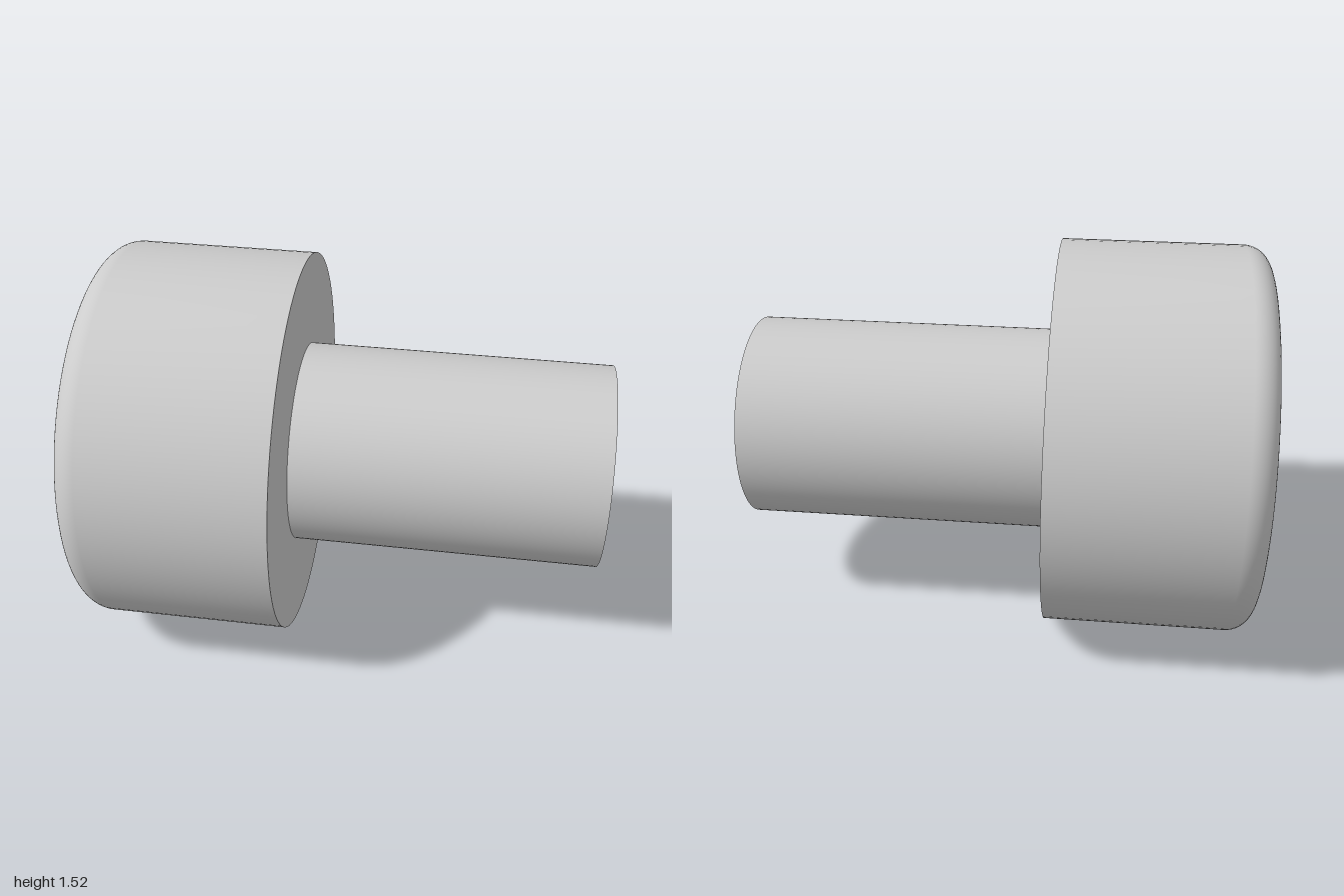
import * as THREE from 'three';
import { toCreasedNormals } from 'three/addons/utils/BufferGeometryUtils.js';

const SEGMENTS = 96;
const AXIS_Y = 0.76;       // height of the screw axis
const HEAD_R = 0.76, SHANK_R = 0.4, FILLET = 0.1;
const HEAD_X = -1, SEAT_X = -0.2, TIP_X = 1;
const HEX_R = 0.6 / Math.sqrt(3), HEX_DEPTH = 0.4; // 0.6 across flats

export function createModel() {
  const group = new THREE.Group();
  group.name = 'socketHeadScrew';
  const smooth = new THREE.MeshStandardMaterial({ color: 0xcccccc });
  const faceted = new THREE.MeshStandardMaterial({ color: 0xcccccc, flatShading: true, side: THREE.DoubleSide });

  const add = (name, geometry, material = smooth, x = 0) => {
    const mesh = new THREE.Mesh(geometry, material);
    mesh.name = name;
    mesh.position.set(x, AXIS_Y, 0);
    group.add(mesh);
  };

  // Turned part from [radius, x] points, running from the tip end to the head end
  const turned = (points) => {
    const profile = points.map(([r, x]) => new THREE.Vector2(r, -x));
    const lathe = new THREE.LatheGeometry(profile, SEGMENTS).rotateZ(Math.PI / 2);
    return toCreasedNormals(lathe, 0.6);
  };

  // Shank with its flat tip
  add('shank', turned([[0, TIP_X], [SHANK_R, TIP_X], [SHANK_R, SEAT_X]]));

  // Head: flat underside, straight wall, rounded outer rim
  const head = [[SHANK_R, SEAT_X], [HEAD_R, SEAT_X], [HEAD_R, HEAD_X + FILLET + 0.005]];
  for (let i = 0; i <= 12; i++) {
    const a = (i / 12) * Math.PI / 2;
    head.push([HEAD_R - FILLET + FILLET * Math.cos(a), HEAD_X + FILLET - FILLET * Math.sin(a)]);
  }
  add('head', turned(head));

  // Flat end face with the hexagonal opening
  const face = new THREE.Shape().absarc(0, 0, HEAD_R - FILLET, 0, Math.PI * 2, false);
  const corners = [];
  for (let i = 0; i < 6; i++) {
    const a = Math.PI / 6 + i * Math.PI / 3;
    corners.push(new THREE.Vector2(HEX_R * Math.cos(a), HEX_R * Math.sin(a)));
  }
  face.holes.push(new THREE.Path(corners));
  add('headFace', new THREE.ShapeGeometry(face, SEGMENTS).rotateY(-Math.PI / 2), smooth, HEAD_X);

  // Hex socket: six walls and a flat floor
  const walls = new THREE.CylinderGeometry(HEX_R, HEX_R, HEX_DEPTH, 6, 1, true, Math.PI / 6);
  add('socketWalls', walls.rotateZ(Math.PI / 2), faceted, HEAD_X + HEX_DEPTH / 2);
  const floor = new THREE.CircleGeometry(HEX_R, 6, Math.PI / 6);
  add('socketFloor', floor.rotateY(-Math.PI / 2), smooth, HEAD_X + HEX_DEPTH);

  return group;
}
